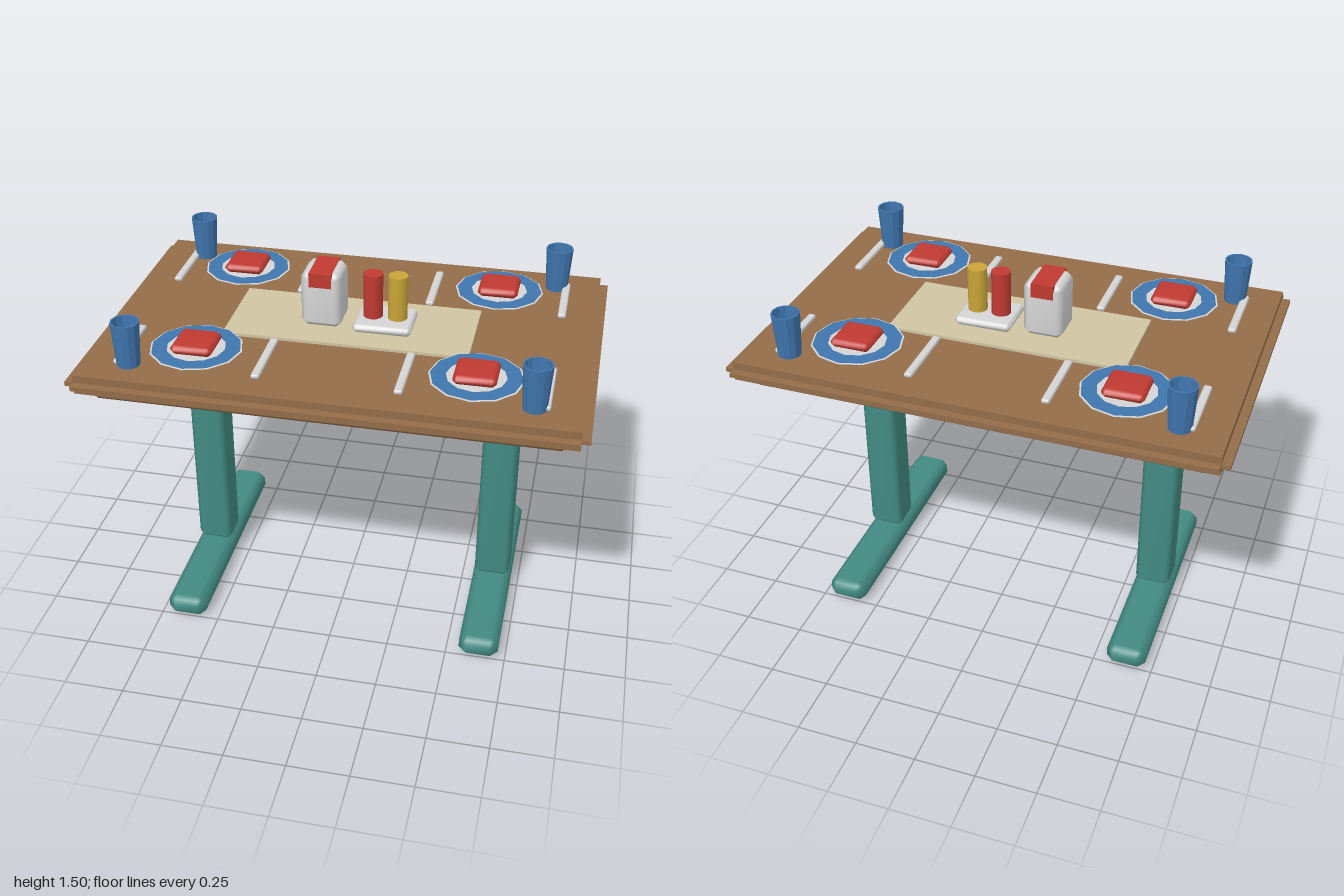
import * as THREE from 'three';
import { mergeVertices } from 'three/addons/utils/BufferGeometryUtils.js';

const paint = (name, color) => {
  const m = new THREE.MeshStandardMaterial({ color });
  m.name = name;
  return m;
};

// Box with 45 degree chamfers on every edge and softly blended normals
function chamferBox(w, h, d, c) {
  const g = new THREE.BoxGeometry(w, h, d, 3, 3, 3);
  g.deleteAttribute('uv');
  g.deleteAttribute('normal');
  const p = g.attributes.position;
  const half = [w / 2, h / 2, d / 2];
  for (let i = 0; i < p.count; i++) {
    const v = [p.getX(i), p.getY(i), p.getZ(i)];
    const outer = v.map((a, k) => Math.abs(a) > half[k] - 1e-5);
    const n = outer.filter(Boolean).length;
    const pull = [0, 0, c / 2, (2 * c) / 3][n];
    const q = v.map((a, k) => Math.sign(a) * (half[k] - (outer[k] ? pull : c)));
    p.setXYZ(i, ...q);
  }
  const merged = mergeVertices(g, 1e-5);
  merged.computeVertexNormals();
  return merged;
}

export function createModel() {
  const root = new THREE.Group();
  root.name = 'diningTable';

  const wood = paint('brown wood', 0x946d4a);
  const teal = paint('teal paint', 0x428a82);
  const white = paint('pale grey', 0xd4d4d4);
  const blue = paint('blue', 0x3f75ad);
  const red = paint('red', 0xbf3a32);
  const yellow = paint('mustard yellow', 0xc9a437);
  const cream = paint('cream cloth', 0xcfc4a2);

  const add = (name, geo, mat, x, y, z, parent = root) => {
    const m = new THREE.Mesh(geo, mat);
    m.name = name;
    m.position.set(x, y, z);
    parent.add(m);
    return m;
  };

  // Table top, edge strips and under slab
  add('tableTop', new THREE.BoxGeometry(1.932, 0.08, 1.266), wood, 0, 1.211, 0);
  add('underSlab', chamferBox(1.834, 0.052, 1.168, 0.018), wood, 0, 1.146, 0);
  for (const s of [-1, 1]) {
    add('longEdgeStrip', new THREE.BoxGeometry(1.932, 0.018, 0.04), wood, 0, 1.21, s * 0.646);
    add('endEdgeStrip', new THREE.BoxGeometry(0.04, 0.018, 1.266), wood, s * 0.98, 1.21, 0);
  }

  // Two pedestal legs
  const bracketGeo = new THREE.CylinderGeometry(0.16, 0.125, 0.022, 4, 1)
    .rotateY(Math.PI / 4).scale(0.12 / 0.1131, 1, 0.16 / 0.1131).toNonIndexed();
  bracketGeo.computeVertexNormals();
  const postGeo = chamferBox(0.15, 1.02, 0.15, 0.022);
  const footGeo = chamferBox(0.165, 0.1, 1.035, 0.032);
  for (const s of [-1, 1]) {
    const leg = new THREE.Group();
    leg.name = s > 0 ? 'leftLeg' : 'rightLeg';
    leg.position.x = s * 0.637;
    root.add(leg);
    add('bracket', bracketGeo, teal, 0, 1.111, 0, leg);
    add('post', postGeo, teal, 0, 0.61, 0, leg);
    add('foot', footGeo, teal, 0, 0.05, 0, leg);
  }

  // Table runner
  add('runner', new THREE.BoxGeometry(0.996, 0.012, 0.4), cream, 0, 1.257, 0);

  // Four place settings
  const plateGeo = new THREE.CylinderGeometry(0.185, 0.12, 0.029, 12).toNonIndexed();
  plateGeo.computeVertexNormals();
  const rimGeo = new THREE.RingGeometry(0.117, 0.178, 12).rotateX(-Math.PI / 2);
  const foodGeo = chamferBox(0.166, 0.04, 0.166, 0.016);
  const cutleryGeo = chamferBox(0.033, 0.02, 0.3, 0.006);
  const cupGeo = new THREE.LatheGeometry([
    [0, 0], [0.046, 0], [0.046, 0], [0.057, 0.185], [0.057, 0.185],
    [0.05, 0.185], [0.05, 0.185], [0.039, 0.012], [0.039, 0.012], [0, 0.012],
  ].map(([x, y]) => new THREE.Vector2(x, y)), 12).toNonIndexed();
  cupGeo.computeVertexNormals();
  for (const sx of [-1, 1]) {
    for (const sz of [-1, 1]) {
      const place = new THREE.Group();
      place.name = 'placeSetting';
      root.add(place);
      const x = sx * 0.551, z = sz * 0.37;
      add('plate', plateGeo, white, x, 1.2655, z, place);
      add('plateRim', rimGeo, blue, x, 1.2825, z, place);
      add('food', foodGeo, red, x, 1.299, z, place);
      add('outerCutlery', cutleryGeo, white, sx * 0.826, 1.261, sz * 0.368, place);
      add('innerCutlery', cutleryGeo, white, sx * 0.276, 1.261, sz * 0.368, place);
      add('cup', cupGeo, blue, sx * 0.784, 1.251, sz * 0.502, place);
    }
  }

  // Napkin dispenser with a red band over its top
  add('dispenser', chamferBox(0.164, 0.237, 0.168, 0.024), white, -0.12, 1.3805, 0);
  add('dispenserBand', new THREE.BoxGeometry(0.092, 0.06, 0.172), red, -0.12, 1.471, 0);

  // Condiment tray with two bottles
  add('tray', chamferBox(0.236, 0.038, 0.2, 0.014), white, 0.131, 1.281, 0);
  const bottleGeo = new THREE.CylinderGeometry(0.04, 0.04, 0.188, 12);
  add('redBottle', bottleGeo, red, 0.08, 1.393, 0);
  add('yellowBottle', bottleGeo, yellow, 0.181, 1.393, 0);

  return root;
}
